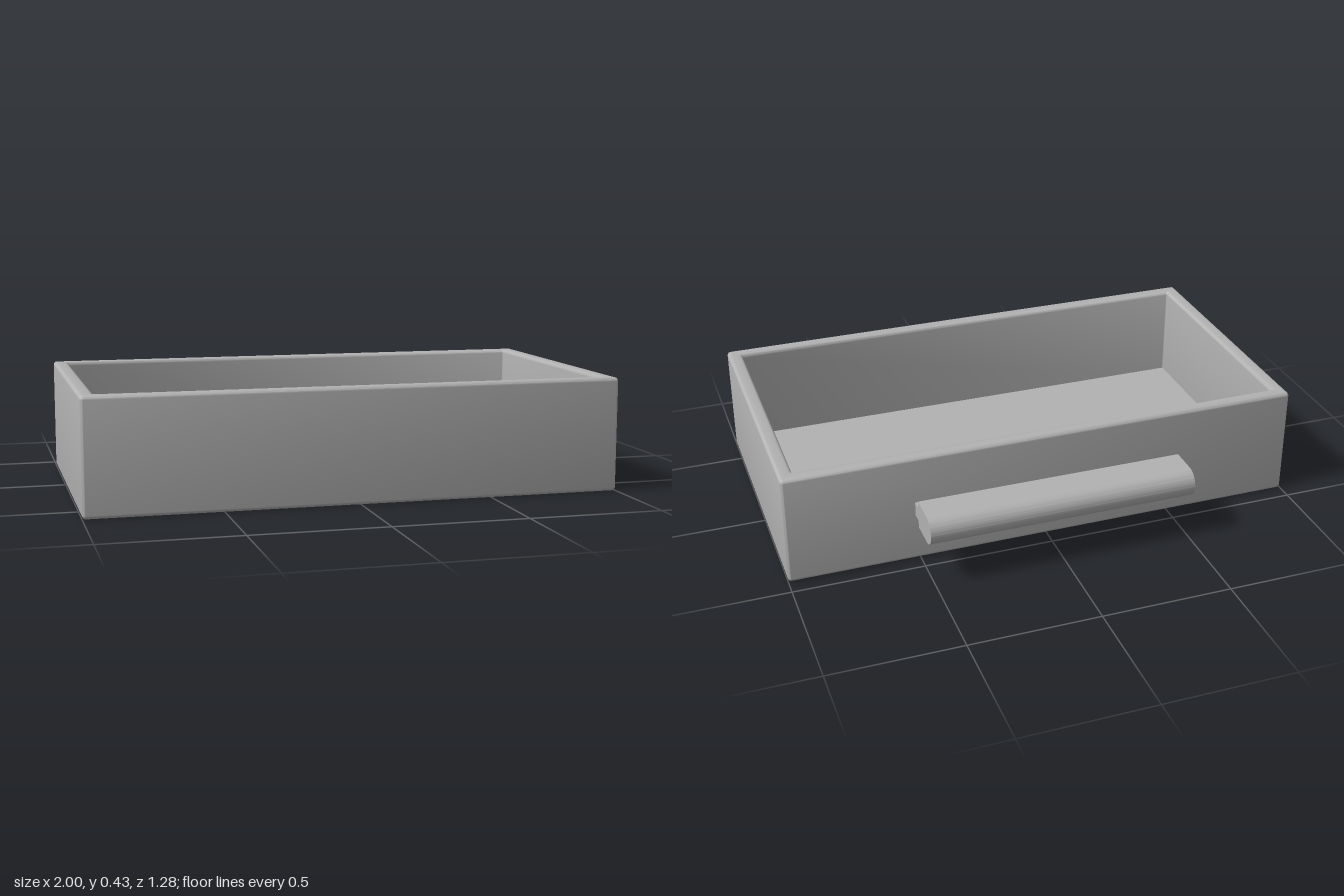
import * as THREE from 'three';
import { toCreasedNormals } from 'three/addons/utils/BufferGeometryUtils.js';

const HEIGHT = 0.43;
const FRONT = 0.64, BACK = -0.44;
const WALL = 0.055, ROUND = 0.014;

// Rectangle in plan, centred on x, with softly rounded corners
function rectangle(path, halfWidth, back, front, r) {
  const b = -front, t = -back;
  path.moveTo(-halfWidth + r, b);
  path.lineTo(halfWidth - r, b);
  path.absarc(halfWidth - r, b + r, r, -Math.PI / 2, 0);
  path.lineTo(halfWidth, t - r);
  path.absarc(halfWidth - r, t - r, r, 0, Math.PI / 2);
  path.lineTo(-halfWidth + r, t);
  path.absarc(-halfWidth + r, t - r, r, Math.PI / 2, Math.PI);
  path.lineTo(-halfWidth, b + r);
  path.absarc(-halfWidth + r, b + r, r, Math.PI, Math.PI * 1.5);
  return path;
}

export function createModel() {
  const group = new THREE.Group();
  const grey = new THREE.MeshStandardMaterial({ color: 0xb2b2b2 });
  grey.name = 'plain grey';

  const add = (name, geometry) => {
    const mesh = new THREE.Mesh(geometry, grey);
    mesh.name = name;
    group.add(mesh);
    return mesh;
  };

  // Four walls as one frame with rounded rims
  const plan = rectangle(new THREE.Shape(), 1, BACK, FRONT, ROUND);
  plan.holes.push(rectangle(new THREE.Path(), 1 - WALL, BACK + WALL, FRONT - WALL, 0.004));
  const walls = new THREE.ExtrudeGeometry(plan, {
    depth: HEIGHT - 2 * ROUND,
    bevelThickness: ROUND,
    bevelSize: ROUND * 0.9,
    bevelOffset: -ROUND * 0.9,
    bevelSegments: 4,
    curveSegments: 4,
  });
  walls.rotateX(-Math.PI / 2).translate(0, ROUND, 0);
  add('drawerWalls', toCreasedNormals(walls, 0.6));

  // Floor panel, set slightly above the lower rim
  const floor = add('drawerFloor', new THREE.BoxGeometry(
    2 - WALL * 2 + 0.01, 0.03, FRONT - BACK - WALL * 2 + 0.01));
  floor.position.set(0, 0.04, (FRONT + BACK) / 2);

  // Handle: narrow stem widening to a grip with a half-round outer edge
  const mid = 0.217, radius = 0.055, stem = 0.027;
  const profile = new THREE.Shape();
  profile.moveTo(0.43, mid - stem);
  profile.lineTo(0.48, mid - stem);
  profile.lineTo(0.48, mid - radius);
  profile.lineTo(0.64 - radius, mid - radius);
  profile.absarc(0.64 - radius, mid, radius, -Math.PI / 2, Math.PI / 2);
  profile.lineTo(0.48, mid + radius);
  profile.lineTo(0.48, mid + stem);
  profile.lineTo(0.43, mid + stem);
  profile.closePath();
  const handle = new THREE.ExtrudeGeometry(profile, {
    depth: 1.03, bevelEnabled: false, curveSegments: 20,
  });
  handle.rotateY(Math.PI / 2).translate(-0.515, 0, 0);
  add('handle', toCreasedNormals(handle, 0.6));

  return group;
}
